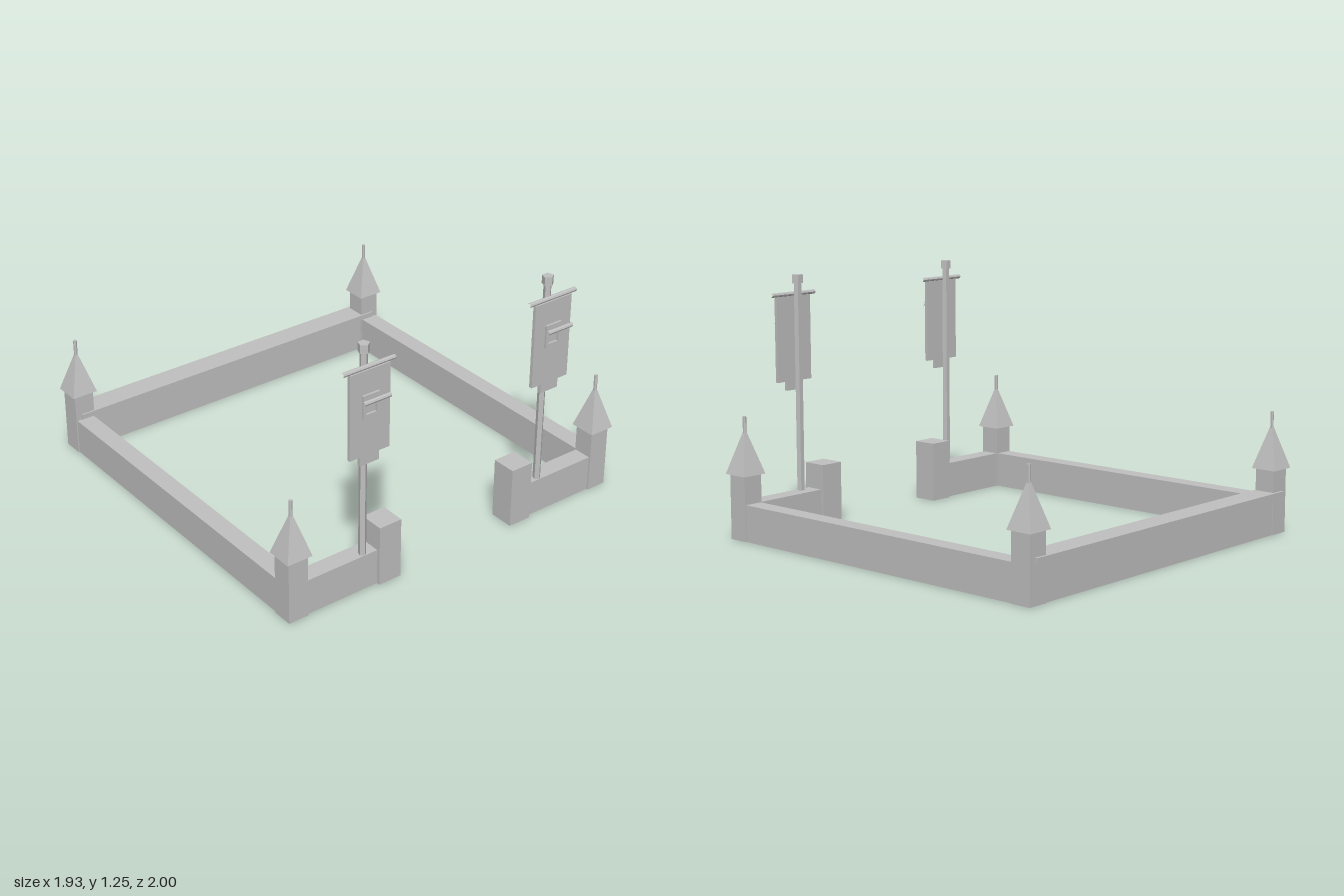
import * as THREE from 'three';

export function createModel() {
  const model = new THREE.Group();
  model.name = 'walledCourtyard';
  const stone = new THREE.MeshStandardMaterial({ color: 0xc0c0c0, flatShading: true });
  stone.name = 'paleGreyStone';

  const add = (parent, name, geometry, x, y, z) => {
    const mesh = new THREE.Mesh(geometry, stone);
    mesh.name = name;
    mesh.position.set(x, y, z);
    parent.add(mesh);
    return mesh;
  };
  // Box given by its minimum and maximum corners
  const block = (parent, name, [x0, y0, z0], [x1, y1, z1]) =>
    add(parent, name, new THREE.BoxGeometry(x1 - x0, y1 - y0, z1 - z0),
      (x0 + x1) / 2, (y0 + y1) / 2, (z0 + z1) / 2);
  // Horizontal tube along x with open ends
  const bar = (parent, name, length, y, z) => {
    const geometry = new THREE.CylinderGeometry(0.011, 0.011, length, 8, 1, true);
    add(parent, name, geometry.rotateZ(Math.PI / 2), 0, y, z);
  };

  // Corner towers with pyramid roofs and spires
  const towerX = 0.9, frontZ = 0.868, backZ = -0.933;
  for (const x of [-towerX, towerX]) {
    for (const z of [frontZ, backZ]) {
      const tower = new THREE.Group();
      tower.name = 'cornerTower';
      tower.position.set(x, 0, z);
      model.add(tower);
      block(tower, 'towerBase', [-0.052, 0, -0.052], [0.052, 0.32, 0.052]);
      const roof = new THREE.ConeGeometry(0.067 * Math.SQRT2, 0.225, 4).rotateY(Math.PI / 4);
      add(tower, 'towerRoof', roof, 0, 0.4325, 0);
      add(tower, 'spire', new THREE.CylinderGeometry(0.009, 0.009, 0.12, 6), 0, 0.54, 0);
    }
  }

  // Back wall with its overhanging coping
  block(model, 'backWall', [-0.9, 0, -0.98], [0.9, 0.18, -0.888]);
  block(model, 'backCoping', [-0.92, 0.183, -0.998], [0.92, 0.21, -0.873]);
  block(model, 'copingBed', [-0.9, 0.17, -0.98], [0.9, 0.19, -0.888]);

  // Banner cloth with a stepped tab at the bottom
  const cloth = new THREE.Shape([
    [-0.109, 1.145], [-0.109, 0.725], [-0.052, 0.725], [-0.052, 0.68],
    [0.052, 0.68], [0.052, 0.725], [0.109, 0.725], [0.109, 1.145],
  ].map(([x, y]) => new THREE.Vector2(x, y)));

  // Square emblem frame
  const rect = (w, y0, y1) => [[-w, y0], [w, y0], [w, y1], [-w, y1]]
    .map(([x, y]) => new THREE.Vector2(x, y));
  const frame = new THREE.Shape(rect(0.045, 0.915, 1.03));
  frame.holes.push(new THREE.Path(rect(0.028, 0.935, 1.01)));
  const extrude = (shape, depth) => new THREE.ExtrudeGeometry(shape, { depth, bevelEnabled: false });

  for (const side of [-1, 1]) {
    // Side wall, short front wall and gate post
    const x = side * towerX;
    block(model, 'sideWall', [x - 0.046, 0, backZ], [x + 0.046, 0.18, frontZ]);
    block(model, 'frontWall', [side * 0.65 - 0.25, 0, 0.82], [side * 0.65 + 0.25, 0.18, 0.911]);
    block(model, 'gatePost', [side * 0.394 - 0.061, 0, 0.803], [side * 0.394 + 0.061, 0.305, 0.928]);

    // Banner on its pole
    const banner = new THREE.Group();
    banner.name = 'banner';
    banner.position.x = side * 0.525;
    model.add(banner);
    add(banner, 'pole', new THREE.CylinderGeometry(0.019, 0.019, 1.21, 5), 0, 0.615, 0.89);
    add(banner, 'poleCap', new THREE.CylinderGeometry(0.028, 0.028, 0.042, 5), 0, 1.23, 0.89);
    bar(banner, 'crossbar', 0.282, 1.155, 0.925);
    add(banner, 'cloth', extrude(cloth, 0.017), 0, 0, 0.92);
    add(banner, 'emblemFrame', extrude(frame, 0.012), 0, 0, 0.936);
    bar(banner, 'emblemBar', 0.145, 1.02, 0.985);
  }
  return model;
}
